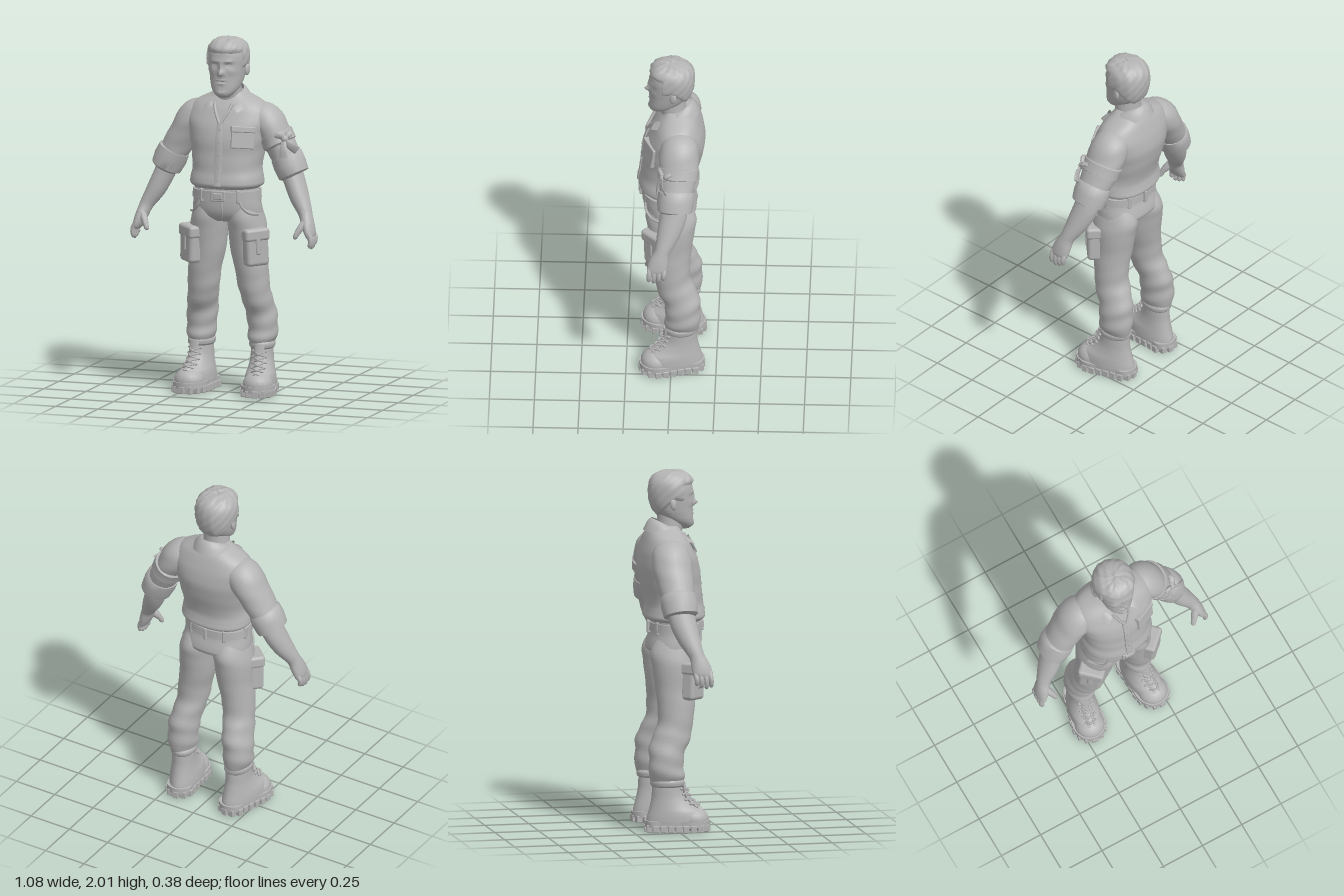
import * as THREE from 'three';
import { toCreasedNormals } from 'three/addons/utils/BufferGeometryUtils.js';
import { RoundedBoxGeometry } from 'three/addons/geometries/RoundedBoxGeometry.js';

const V = (x, y, z) => new THREE.Vector3(x, y, z);
const grey = new THREE.MeshStandardMaterial({ color: 0xb4b4b4, side: THREE.DoubleSide });
grey.name = 'stone grey';

function part(parent, name, geometry) {
  const m = new THREE.Mesh(geometry, grey);
  m.name = name;
  parent.add(m);
  return m;
}

// Surface from rows x cols points; wrap closes it around
function grid(rows, cols, f, wrap = true, crease = 0.8) {
  const pos = [], idx = [], w = wrap ? cols : cols + 1;
  for (let i = 0; i <= rows; i++) for (let j = 0; j < w; j++) pos.push(...f(i, j).toArray());
  for (let i = 0; i < rows; i++) for (let j = 0; j < cols; j++) {
    const a = i * w + j, b = a + w, k = (j + 1) % w, c = i * w + k, d = c + w;
    idx.push(a, b, c, c, b, d);
  }
  const g = new THREE.BufferGeometry();
  g.setAttribute('position', new THREE.Float32BufferAttribute(pos, 3));
  g.setIndex(idx);
  return toCreasedNormals(g, crease);
}

// Rings of rows [x, y, z, rx, rz]; steps > 1 smooths between them, both ends are capped
function loft(rows, { steps = 4, segs = 24, flat = false, power = 1, warp, crease } = {}) {
  const n = (rows.length - 1) * steps;
  const path = new THREE.CatmullRomCurve3(rows.map(r => V(r[0], r[1], r[2])), false, 'catmullrom');
  const size = new THREE.CatmullRomCurve3(rows.map(r => V(r[3], r[4], 0)), false, 'catmullrom');
  const C = [], S = [];
  for (let i = 0; i <= n; i++) { C.push(path.getPoint(i / n)); S.push(size.getPoint(i / n)); }
  const pw = c => Math.sign(c) * Math.abs(c) ** power;
  return grid(n + 2, segs, (r, j) => {
    const i = THREE.MathUtils.clamp(r - 1, 0, n), k = r === 0 || r === n + 2 ? 0.02 : 1;
    const t = C[Math.min(n, i + 1)].clone().sub(C[Math.max(0, i - 1)]).normalize();
    if (flat) t.set(0, Math.sign(t.y), 0);
    const u = t.clone().cross(V(0, 0, 1)).normalize(), v = u.clone().cross(t);
    const a = j / segs * Math.PI * 2;
    const p = C[i].clone().addScaledVector(u, pw(Math.cos(a)) * S[i].x * k).addScaledVector(v, pw(Math.sin(a)) * S[i].y * k);
    if (warp) warp(p, a, C[i]);
    return p;
  }, true, crease);
}
// Row from height, half width, front z and back z
const ring = ([y, w, f, b]) => [0, y, (f + b) / 2, w, (f - b) / 2];
const cord = (pts, r) => new THREE.TubeGeometry(new THREE.CatmullRomCurve3(pts.map(p => V(...p))), 14, r, 6);
const box = (w, h, d, r = 0.006) => new RoundedBoxGeometry(w, h, d, 2, r);
const folds = amp => (p, a, c) => {
  const k = 1 + amp * (Math.sin(p.y * 62 + Math.sin(a) * 2.2) + 0.6 * Math.sin(p.y * 33 - a * 2));
  p.x = c.x + (p.x - c.x) * k;
  p.z = c.z + (p.z - c.z) * k;
};

function addHead(g) {
  const rows = [[1.672, .03, .105, .04], [1.69, .052, .124, .02], [1.72, .076, .126, -.03], [1.76, .09, .124, -.075],
    [1.8, .098, .122, -.102], [1.85, .105, .122, -.114], [1.9, .107, .122, -.115], [1.94, .098, .112, -.105],
    [1.968, .075, .09, -.08], [1.982, .045, .06, -.045], [1.986, .015, .03, -.015]].map(ring);
  // Face sculpting: |x|, y, spread x, spread y, push forward
  const bumps = [[0, 1.813, .014, .016, .032], [0, 1.85, .011, .026, .014], [.035, 1.88, .03, .009, .008],
    [.04, 1.857, .016, .012, -.013], [.04, 1.855, .01, .006, .006], [.062, 1.82, .02, .02, .006],
    [0, 1.774, .022, .006, .006], [0, 1.754, .018, .006, .006], [0, 1.764, .026, .003, -.005], [0, 1.7, .025, .015, .007]];
  part(g, 'head', loft(rows, { steps: 8, segs: 72, flat: true, power: .92, crease: 1.2, warp: p => {
    if (p.z < 0.02) return;
    let d = 0;
    for (const [x, y, sx, sy, h] of bumps) d += h * Math.exp(-(((Math.abs(p.x) - x) / sx) ** 2) - ((p.y - y) / sy) ** 2);
    p.z += d;
  } }));
  // Hair shell sinks under the skin below the hairline
  part(g, 'hair', loft(rows, { steps: 5, segs: 56, flat: true, power: .92, crease: 1.2, warp: (p, a) => {
    const s = Math.sin(a), line = s > .4 ? 1.925 : s > 0.05 ? 1.84 : 1.85 + .1 * Math.min(s, 0);
    const k = THREE.MathUtils.smoothstep(p.y, line - .012, line + .012);
    const lump = .022 * Math.sin(a * 9 + p.y * 55) * Math.sin(p.y * 70 + a * 4) + .012 * Math.sin(p.x * 150 + p.z * 60);
    p.sub(V(0, 1.85, 0)).multiplyScalar(k > 0 ? .93 + k * (.165 + lump) : .9).add(V(0, 1.85, 0));
  } }));
  part(g, 'neck', loft([[0, 1.56, -.02, .08, .08], [0, 1.64, -.015, .075, .075], [0, 1.7, -.002, .074, .075], [0, 1.77, 0, .07, .075]], { flat: true }));
  for (const s of [1, -1]) {
    const ear = part(g, 'ear', new THREE.SphereGeometry(1, 14, 10));
    ear.scale.set(.012, .034, .02);
    ear.position.set(s * .108, 1.822, -.008);
    ear.rotation.set(-.15, s * -.35, 0);
  }
}

function addShirt(g) {
  part(g, 'shirt body', loft([[1.165, .185, .165, -.13], [1.185, .206, .186, -.152], [1.22, .203, .182, -.148], [1.27, .195, .172, -.142],
    [1.36, .203, .163, -.166], [1.45, .222, .154, -.183], [1.53, .24, .128, -.18], [1.59, .232, .1, -.162],
    [1.635, .195, .074, -.146], [1.672, .125, .05, -.125], [1.695, .08, .045, -.105]].map(ring),
  { segs: 36, flat: true, power: .86, warp: folds(.006) }));
  part(g, 'collar', grid(6, 32, (i, j) => {
    const q = j / 16 - 1, k = q * q, v = i / 6, a = q * 2.5;
    const r = .08 + .042 * v, y = THREE.MathUtils.lerp(1.735 - .115 * k, 1.668 - .075 * k, v) + .012 * Math.sin(v * 3.14);
    return V(Math.sin(a) * r * (1 + .25 * k * v), y, -.02 - Math.cos(a) * r * 1.1 + .03 * k * k);
  }, false));
  for (const s of [1, -1]) part(g, 'neckline edge', cord([[s * .052, 1.635, .085], [s * .035, 1.59, .112], [s * .004, 1.535, .142]], .009));
  part(g, 'button placket', loft([[0, 1.55, .128, .02, .008], [0, 1.45, .155, .022, .008], [0, 1.36, .164, .022, .008],
    [0, 1.27, .173, .022, .008], [0, 1.185, .187, .02, .008]], { segs: 12, power: .6 }));
  for (const [y, z] of [[1.5, .15], [1.43, .166], [1.36, .173], [1.29, .18], [1.22, .191]]) {
    const b = part(g, 'button', new THREE.CylinderGeometry(.008, .008, .006, 10));
    b.position.set(0, y, z);
    b.rotation.x = Math.PI / 2;
  }
  // Breast pocket with its flap
  const pocket = new THREE.Group();
  pocket.name = 'breast pocket';
  pocket.position.set(.125, 1.455, .118);
  pocket.rotation.set(-.16, .46, 0);
  part(pocket, 'pocket body', box(.13, .12, .036));
  part(pocket, 'pocket flap', box(.136, .035, .046)).position.y = .047;
  g.add(pocket);
}

function addArm(g, s) {
  const at = rows => rows.map(([x, ...r]) => [s * x, ...r]);
  part(g, 'sleeve', loft(at([[.12, 1.57, -.04, .06, .075], [.17, 1.555, -.042, .088, .1], [.215, 1.525, -.045, .096, .11],
    [.26, 1.46, -.043, .086, .108], [.3, 1.39, -.038, .083, .1], [.345, 1.31, -.03, .078, .092]]), { warp: folds(.012) }));
  part(g, 'rolled cuff', loft(at([[.326, 1.35, -.033, .076, .088], [.33, 1.343, -.033, .089, .1], [.352, 1.295, -.03, .092, .102],
    [.376, 1.243, -.026, .086, .097], [.38, 1.235, -.026, .07, .08]]), { steps: 1, warp: folds(.008) }));
  part(g, 'forearm and palm', loft(at([[.345, 1.3, -.03, .06, .07], [.382, 1.21, -.018, .058, .074], [.422, 1.12, .008, .053, .064],
    [.458, 1.055, .032, .042, .048], [.474, 1.02, .045, .037, .043], [.492, .97, .06, .034, .054],
    [.508, .925, .07, .026, .056], [.514, .905, .071, .016, .048]])));
  // Fingers curl slightly inwards
  for (let i = 0; i < 4; i++) {
    const z = .03 + i * .027, l = [.055, .068, .074, .066][i];
    part(g, 'finger', loft(at([[.506, .94, z, .014, .014], [.519, .915, z, .0155, .0145], [.524, .93 - l * .6, z + .003, .0145, .0135],
      [.519, .93 - l, z + .003, .012, .0115], [.515, .924 - l, z + .003, .005, .005]]), { steps: 2, segs: 10 }));
  }
  part(g, 'thumb', loft(at([[.482, 1.0, .075, .02, .024], [.462, .965, .1, .02, .022], [.446, .935, .118, .016, .016],
    [.437, .912, .125, .013, .013], [.435, .904, .126, .005, .005]]), { steps: 3, segs: 12 }));
}

function addArmband(g) {
  part(g, 'armband', loft([[.258, 1.466, -.044, .085, .1], [.262, 1.458, -.044, .096, .116], [.277, 1.432, -.042, .094, .112],
    [.29, 1.407, -.04, .094, .113], [.294, 1.4, -.04, .08, .1]], { steps: 1 }));
  part(g, 'bow knot', new THREE.SphereGeometry(.022, 12, 8)).position.set(.345, 1.45, .04);
  const strip = (name, rows) => part(g, name, loft(rows, { steps: 3, segs: 10 }));
  strip('bow tail', [[.345, 1.45, .042, .012, .006], [.38, 1.415, .045, .022, .005], [.415, 1.385, .025, .026, .004]]);
  strip('bow tail', [[.342, 1.45, .045, .012, .006], [.348, 1.4, .07, .02, .005], [.352, 1.345, .076, .024, .004]]);
  strip('bow loop', [[.345, 1.45, .04, .01, .01], [.318, 1.472, .058, .022, .014], [.295, 1.47, .066, .012, .01]]);
  strip('bow loop', [[.345, 1.45, .04, .01, .01], [.362, 1.475, .02, .02, .014], [.36, 1.485, -.005, .012, .01]]);
}

function addTrousers(g) {
  part(g, 'trouser hips', loft([[1.17, .18, .155, -.115], [1.1, .188, .158, -.115], [1.04, .196, .153, -.132], [1.0, .19, .135, -.135],
    [.975, .13, .1, -.1]].map(ring), { segs: 36, flat: true, power: .88 }));
  const belt = [[1.103, .18, .15, -.1], [1.105, .194, .168, -.125], [1.152, .191, .168, -.123], [1.154, .18, .15, -.1]];
  part(g, 'belt', loft(belt.map(ring), { steps: 1, segs: 40, flat: true, power: .88 }));
  part(g, 'belt buckle', box(.085, .062, .016)).position.set(0, 1.128, .172);
  part(g, 'buckle plate', box(.055, .036, .012)).position.set(0, 1.128, .18);
  part(g, 'fly', cord([[.012, 1.1, .158], [.018, 1.05, .156], [.012, 1.01, .14], [0, .985, .11]], .006));
  for (const a of [.95, 2.19, 3.3, 4.1, 4.71, 5.32, 6.12]) {
    const l = part(g, 'belt loop', box(.022, .075, .02));
    l.position.set(.186 * Math.cos(a), 1.125, .022 + .148 * Math.sin(a));
    l.rotation.y = Math.PI / 2 - a;
  }
}

function addLeg(g, s) {
  const at = rows => rows.map(([x, ...r]) => [s * x, ...r]);
  part(g, 'trouser leg', loft(at([[.095, 1.09, .02, .08, .11], [.104, 1.0, .003, .099, .141], [.114, .92, 0, .106, .131],
    [.121, .8, 0, .1, .115], [.138, .7, 0, .093, .105], [.148, .6, -.008, .088, .1], [.16, .53, -.03, .085, .108],
    [.173, .45, -.06, .083, .104], [.18, .37, -.065, .084, .096], [.18, .315, -.063, .08, .1], [.177, .275, -.062, .064, .088]]),
  { flat: true, warp: (p, a, c) => folds(.03 * THREE.MathUtils.smoothstep(-p.y, -.75, -.4) + .004)(p, a, c) }));
  part(g, 'hip pocket edge', cord([[s * .115, 1.1, .145], [s * .135, 1.06, .14], [s * .165, 1.03, .112], [s * .198, 1.02, .06]], .007));
  // Cargo pocket on the outer front of the thigh
  const pocket = new THREE.Group();
  pocket.name = 'cargo pocket';
  pocket.position.set(s * .188, .84, .083);
  pocket.rotation.set(0, s * .75, s * .05);
  part(pocket, 'pocket pouch', box(.135, .19, .085, .022)).position.y = -.01;
  part(pocket, 'pocket flap', box(.148, .07, .1, .018)).position.y = .072;
  part(pocket, 'pocket strap', box(.03, .14, .1, .01)).position.y = .03;
  g.add(pocket);
}

function addBoot(g, s) {
  const b = new THREE.Group();
  b.name = 'boot';
  b.position.set(s * .187, 0, -.005);
  b.rotation.y = s * .16;
  part(b, 'boot upper', loft([[0, .3, -.055, .06, .08], [0, .24, -.055, .062, .085], [0, .19, -.048, .065, .095], [0, .145, -.03, .073, .122],
    [0, .11, -.006, .082, .155], [0, .07, 0, .086, .172], [0, .045, 0, .086, .172]], { segs: 28, flat: true }));
  part(b, 'boot collar', loft([[0, .25, -.055, .062, .084], [0, .262, -.055, .071, .094], [0, .285, -.056, .071, .094], [0, .297, -.057, .06, .083]],
    { flat: true, steps: 3 }));
  const toe = part(b, 'toe cap', new THREE.SphereGeometry(1, 20, 14));
  toe.scale.set(.084, .07, .085);
  toe.position.set(0, .065, .09);
  // Sole plate with a lugged tread
  const outline = new THREE.CatmullRomCurve3([[0, .183], [.06, .16], [.094, .09], [.082, 0], [.072, -.08], [.064, -.15], [0, -.182],
    [-.064, -.15], [-.072, -.08], [-.082, 0], [-.094, .09], [-.06, .16]].map(([x, z]) => V(x, z, 0)), true);
  const sole = new THREE.ExtrudeGeometry(new THREE.Shape(outline.getPoints(48).slice(0, -1).map(p => new THREE.Vector2(p.x, p.y))),
    { depth: .034, bevelEnabled: false });
  part(b, 'sole', toCreasedNormals(sole.rotateX(Math.PI / 2).translate(0, .062, 0), .6));
  outline.getSpacedPoints(20).slice(0, -1).forEach(p => {
    part(b, 'tread lug', box(.034, .04, .034, .004)).position.set(p.x * .87, .02, p.y * .92);
  });
  for (const z of [-.12, -.07, .0, .05, .1]) part(b, 'tread bar', box(.07, .026, .028, .004)).position.set(0, .018, z);
  // Tongue and crossed laces up the instep
  part(b, 'boot tongue', loft([[0, .275, .032, .03, .012], [0, .2, .048, .028, .012], [0, .15, .09, .026, .012], [0, .12, .132, .022, .01]], { segs: 12 }));
  const eyelets = [[.135, .125], [.155, .1], [.18, .072], [.21, .058], [.24, .048]];
  eyelets.slice(1).forEach(([y, z], i) => {
    const [y0, z0] = eyelets[i];
    for (const m of [1, -1]) {
      part(b, 'lace', cord([[m * -.034, y0, z0 - .025], [0, (y + y0) / 2 + .004, (z + z0) / 2 + .012], [m * .034, y, z - .025]], .005));
      part(b, 'eyelet', new THREE.SphereGeometry(.008, 8, 6)).position.set(m * .036, y, z - .026);
    }
  });
  g.add(b);
}

export function createModel() {
  const model = new THREE.Group();
  model.name = 'standing man';
  addHead(model);
  addShirt(model);
  addTrousers(model);
  addArmband(model);
  for (const s of [1, -1]) {
    addArm(model, s);
    addLeg(model, s);
    addBoot(model, s);
  }
  return model;
}
